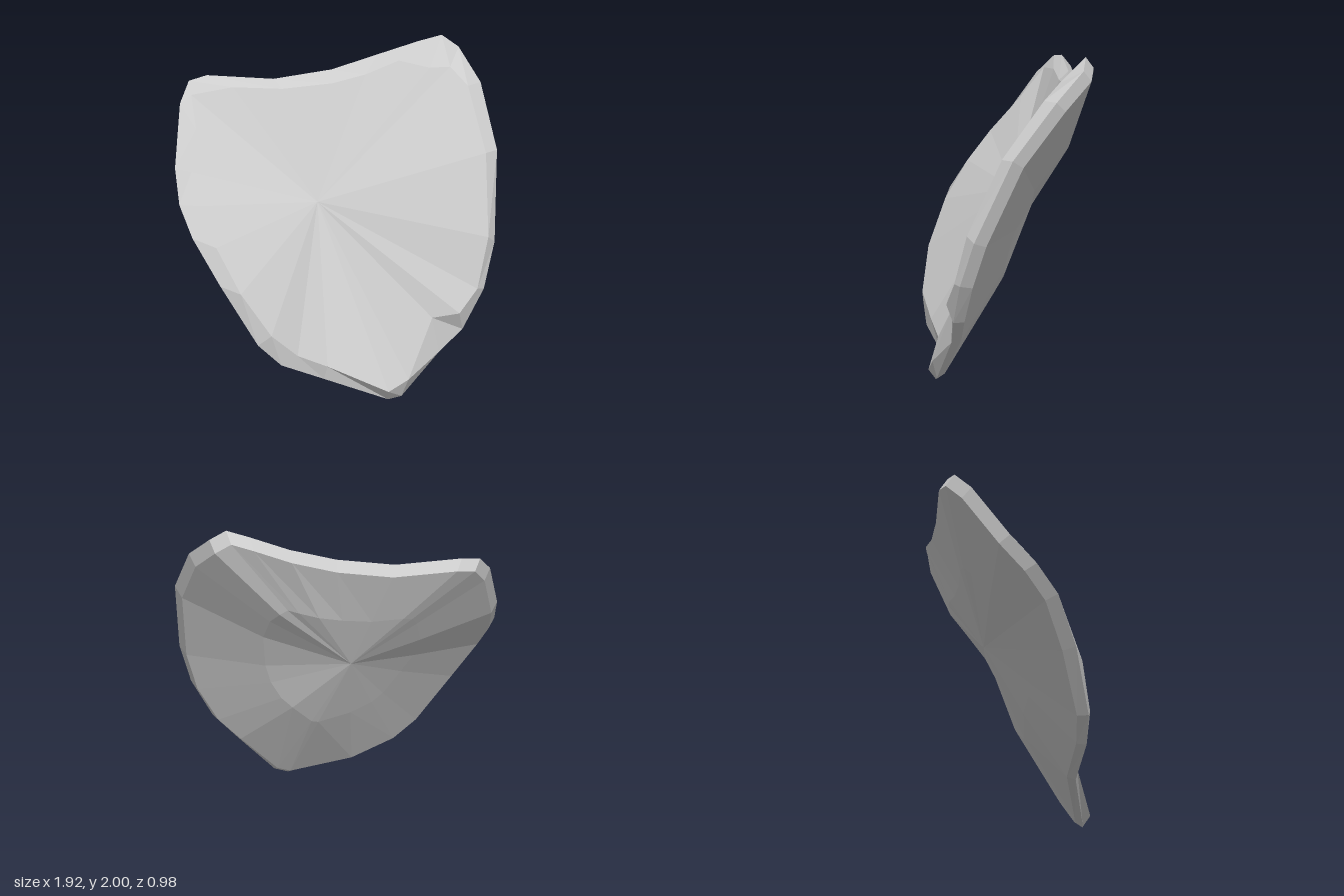
import * as THREE from 'three';

// Outer rim of the leaning, dished shard, anticlockwise seen from the front
const rim = [
  [0.96, 1.42, 0.03], [0.88, 1.76, -0.24], [0.76, 1.93, -0.41], [0.66, 2, -0.43],
  [0.52, 1.96, -0.44], [0.28, 1.88, -0.45], [0, 1.8, -0.42], [-0.35, 1.755, -0.4],
  [-0.75, 1.79, -0.39], [-0.86, 1.77, -0.35], [-0.92, 1.66, -0.25], [-0.965, 1.33, -0.02],
  [-0.95, 1.15, 0.14], [-0.88, 0.98, 0.27], [-0.72, 0.71, 0.38], [-0.5, 0.36, 0.46],
  [-0.36, 0.23, 0.45], [-0.1, 0.12, 0.39], [0.28, 0, 0.44], [0.36, 0.02, 0.44],
  [0.59, 0.27, 0.37], [0.73, 0.41, 0.37], [0.86, 0.65, 0.34], [0.93, 0.92, 0.26],
].map((p) => new THREE.Vector3(...p));

// Crease where the bevel meets the hollow front, one point per rim point
const crease = [
  [0.89, 1.42, 0.09], [0.8, 1.76, -0.17], [0.7, 1.85, -0.27], [0.58, 1.84, -0.29],
  [0.4, 1.86, -0.38], [0.2, 1.78, -0.37], [0, 1.735, -0.35], [-0.3, 1.71, -0.34],
  [-0.6, 1.73, -0.33], [-0.85, 1.7, -0.29], [-0.83, 1.53, -0.15], [-0.87, 1.32, 0.03],
  [-0.82, 1.15, 0.17], [-0.74, 0.93, 0.31], [-0.6, 0.67, 0.42], [-0.42, 0.42, 0.47],
  [-0.26, 0.28, 0.43], [-0.08, 0.2, 0.4], [0.28, 0.06, 0.485], [0.4, 0.13, 0.47],
  [0.55, 0.48, 0.36], [0.71, 0.52, 0.41], [0.82, 0.66, 0.37], [0.89, 0.96, 0.3],
].map((p) => new THREE.Vector3(...p));

const frontCentre = new THREE.Vector3(-0.11, 1.09, -0.05);
const backCentre = new THREE.Vector3(-0.09, 0.99, -0.16);

// Triangles between successive loops of equal length, flat shaded
function skin(loops) {
  const points = [];
  for (let k = 0; k < loops.length - 1; k++) {
    const a = loops[k], b = loops[k + 1];
    for (let i = 0; i < a.length; i++) {
      const j = (i + 1) % a.length;
      if (a[i] !== a[j]) points.push(a[i], b[j], a[j]);
      if (b[i] !== b[j]) points.push(a[i], b[i], b[j]);
    }
  }
  const geometry = new THREE.BufferGeometry().setFromPoints(points);
  geometry.computeVertexNormals();
  return geometry;
}

export function createModel() {
  const group = new THREE.Group();
  group.name = 'stoneShard';
  const stone = new THREE.MeshStandardMaterial({ color: 0xcccccc, flatShading: true });
  stone.name = 'pale grey stone';

  // Back edge sits just behind the rim
  const backEdge = rim.map((p) => {
    const k = Math.min(1, 0.4 + p.y);
    const q = p.clone().lerp(backCentre, 0.04).add(new THREE.Vector3(0, -0.03 * k, -0.06 * k));
    q.y = Math.max(0, q.y);
    return q;
  });
  // The back swells a little, mostly on the +x half
  const backMiddle = backEdge.map((p) => {
    const swell = 0.01 + 0.04 * THREE.MathUtils.smoothstep(p.x, -0.3, 0.6);
    return p.clone().lerp(backCentre, 0.5).add(new THREE.Vector3(swell * 0.4, -swell * 0.45, -swell * 0.8));
  });
  const fan = (centre) => rim.map(() => centre);

  const parts = {
    hollowFront: [fan(frontCentre), crease],
    bevelledRim: [crease, rim, backEdge],
    swollenBack: [backEdge, backMiddle, fan(backCentre)],
  };
  for (const [name, loops] of Object.entries(parts)) {
    const mesh = new THREE.Mesh(skin(loops), stone);
    mesh.name = name;
    group.add(mesh);
  }
  return group;
}
